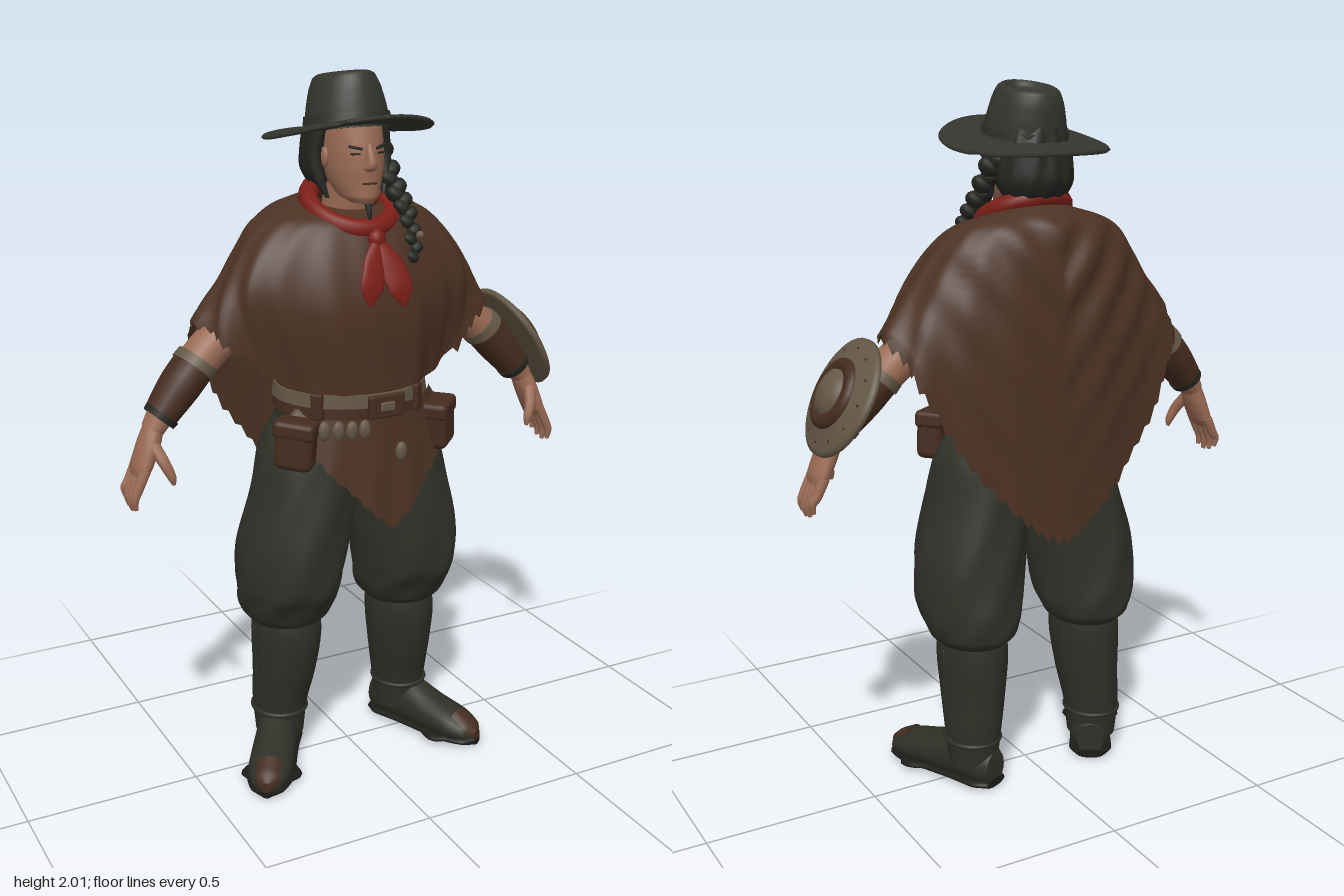
import * as THREE from 'three';
import { RoundedBoxGeometry } from 'three/addons/geometries/RoundedBoxGeometry.js';

const V = (x, y, z) => new THREE.Vector3(x, y, z);
const Y = V(0, 1, 0), Z = V(0, 0, 1);
const mat = (name, color, side = THREE.FrontSide) =>
  Object.assign(new THREE.MeshStandardMaterial({ color, side }), { name });

// Grid of points to an indexed geometry; rows are rings when wrap is set
function gridGeometry(rows, wrap, caps) {
  const n = rows[0].length, pos = [], idx = [];
  rows.forEach(r => r.forEach(p => pos.push(p.x, p.y, p.z)));
  for (let i = 0; i < rows.length - 1; i++) for (let j = 0; j < (wrap ? n : n - 1); j++) {
    const a = i * n + j, b = i * n + (j + 1) % n;
    idx.push(a, a + n, b, b, a + n, b + n);
  }
  if (caps) [rows[0], rows[rows.length - 1]].forEach((ring, k) => {
    const s = pos.length / 3, c = V(0, 0, 0);
    ring.forEach(p => { pos.push(p.x, p.y, p.z); c.addScaledVector(p, 1 / n); });
    pos.push(c.x, c.y, c.z);
    for (let j = 0; j < n; j++) {
      const q = s + (j + 1) % n;
      k ? idx.push(s + n, q, s + j) : idx.push(s + n, s + j, q);
    }
  });
  const g = new THREE.BufferGeometry();
  g.setAttribute('position', new THREE.Float32BufferAttribute(pos, 3));
  g.setIndex(idx);
  g.computeVertexNormals();
  return g;
}

// Elliptical sections [x, y, z, ra, rb] joined smoothly; rows run along axis when it is given
function sweep(rows, { axis, ref = Z, seg = 20, steps = 4, warp } = {}) {
  const path = new THREE.CatmullRomCurve3(rows.map(r => V(r[0], r[1], r[2])));
  const size = new THREE.CatmullRomCurve3(rows.map(r => V(r[3], r[4], 0)));
  const n = (rows.length - 1) * steps, rings = [];
  for (let i = 0; i <= n; i++) {
    const c = path.getPoint(i / n), s = size.getPoint(i / n), t = axis || path.getTangent(i / n);
    const u = t.clone().cross(ref).normalize(), v = u.clone().cross(t).normalize(), ring = [];
    for (let j = 0; j < seg; j++) {
      const a = j / seg * Math.PI * 2, k = warp ? warp(a, i / n) : 1;
      ring.push(c.clone().addScaledVector(u, s.x * k * Math.cos(a)).addScaledVector(v, s.y * k * Math.sin(a)));
    }
    rings.push(ring);
  }
  return gridGeometry(rings, true, true);
}

const flip = (rows, s) => rows.map(([x, ...r]) => [x * s, ...r]);

export function createModel() {
  const root = new THREE.Group();
  const M = {
    poncho: mat('ponchoBrown', 0x4c3223, THREE.DoubleSide), cloth: mat('trouserOlive', 0x303229),
    boot: mat('bootOlive', 0x2e3027), hat: mat('hatOlive', 0x33352e), hair: mat('hairDark', 0x242621),
    skin: mat('skin', 0x9a6b54), red: mat('scarfRed', 0x7c1e17), leather: mat('leather', 0x452c1f),
    taupe: mat('taupe', 0x645745), sole: mat('soleDark', 0x1c1d19),
  };
  const add = (name, geo, m, parent = root) => {
    const o = new THREE.Mesh(geo, m);
    o.name = name;
    parent.add(o);
    return o;
  };
  const box = (name, w, h, d, m, x, y, z, rx = 0, ry = 0, rz = 0) => {
    const o = add(name, new RoundedBoxGeometry(w, h, d, 2, Math.min(w, h, d) * 0.3), m);
    o.position.set(x, y, z);
    o.rotation.set(rx, ry, rz);
  };

  // Poncho: neck, shoulder, chest and hem rings, half given from front to back
  const chest = [[0, 1.41, .195], [.12, 1.41, .185], [.24, 1.42, .13], [.32, 1.45, .09], [.36, 1.46, .03],
    [.365, 1.46, -.04], [.33, 1.44, -.12], [.24, 1.41, -.18], [.12, 1.4, -.215], [0, 1.4, -.22]];
  const hem = [[0, 1.155, .19], [.11, 1.155, .18], [.2, 1.165, .12], [.29, 1.22, .09], [.41, 1.325, .06],
    [.45, 1.355, -.04], [.41, 1.265, -.14], [.29, 1.04, -.18], [.13, .85, -.21], [0, .77, -.22]];
  const oval = (rx, rz, y, cz, tilt) => hem.map((_, i) => {
    const a = i / 9 * Math.PI;
    return [rx * Math.sin(a), y - tilt * Math.cos(a), cz + rz * Math.cos(a)];
  });
  const rings = [oval(.1, .09, 1.66, -.02, .025), oval(.25, .155, 1.612, -.03, .012), chest, hem].map(half => {
    const back = half.slice(1, -1).reverse().map(([x, y, z]) => [-x, y, z]);
    return new THREE.CatmullRomCurve3([...half, ...back].map(p => V(...p)), true);
  });
  const NU = 144, NV = 32, grid = [];
  for (let i = 0; i <= NV; i++) grid.push([]);
  for (let j = 0; j < NU; j++) {
    const u = j / NU, column = new THREE.CatmullRomCurve3(rings.map(r => r.getPoint(u)));
    const rear = Math.max(0, -Math.cos(u * Math.PI * 2));
    for (let i = 0; i <= NV; i++) {
      const v = i / NV, p = column.getPoint(v);
      // Upright folds in front, V-shaped drapes behind
      const fold = .022 * v * (1 - .7 * rear) * Math.sin(u * Math.PI * 36 + 3 * Math.sin(v * 3));
      p.x *= 1 + fold;
      p.z = p.z * (1 + fold) + .009 * rear * Math.sin(v * Math.PI) * Math.sin(34 * (p.y - 1.3 * Math.abs(p.x)));
      if (i === NV && j % 2 && Math.abs(u - .5) < .34) p.y -= .014 + .014 * Math.abs(Math.sin(j * 1.7));
      grid[i].push(p);
    }
  }
  add('poncho', gridGeometry(grid, true, false), M.poncho);
  add('torso', sweep([[0, 1.06, 0, .2, .15], [0, 1.18, 0, .19, .155], [0, 1.4, -.01, .2, .15], [0, 1.58, -.03, .12, .09]],
    { axis: Y }), M.poncho);

  // Pointed front tail below the belt
  const tail = [];
  for (let i = 0; i <= 10; i++) {
    tail.push([]);
    for (let j = 0; j <= 36; j++) {
      const s = j / 18 - 1, a = s * 1.15, v = 1 - i / 10;
      const low = .745 + .31 * Math.abs(s - .06) + (j % 2) * .012, f = 1 + .025 * v * Math.sin(j * .9);
      tail[i].push(V(.015 + (.225 + .05 * v) * Math.sin(a) * f, 1.12 + (low - 1.12) * v, (.19 + .025 * v) * Math.cos(a) * f));
    }
  }
  add('ponchoFrontTail', gridGeometry(tail.map(r => r.reverse()), false, false), M.poncho);

  // Belt, buckle, charms and pouches
  add('belt', sweep([[0, 1.085, .01, .222, .192], [0, 1.16, .01, .212, .192]], { axis: Y, seg: 32 }), M.leather);
  add('sash', sweep([[0, 1.118, .012, .224, .2], [0, 1.155, .012, .218, .2]], { axis: Y, seg: 32 }), M.taupe);
  box('buckle', .11, .065, .02, M.leather, .01, 1.12, .212);
  box('buckleCentre', .045, .028, .02, M.taupe, .01, 1.12, .216);
  for (const a of [-.85, .6])
    box('beltLoop', .035, .075, .02, M.leather, .222 * Math.sin(a), 1.122, .012 + .2 * Math.cos(a), 0, a);
  for (const x of [-.16, -.125, -.09, -.055, .06]) {
    const c = add('charm', new THREE.SphereGeometry(.02, 10, 8), M.taupe);
    c.position.set(x, x > 0 ? .98 : 1.06, .215 - x * x * 1.6);
    c.scale.set(.9, 1.4, .6);
  }
  for (const s of [-1, 1]) {
    box('pouch', .11, .13, .075, M.leather, .225 * s, 1.015, .13, 0, .75 * s, .08 * s);
    box('pouchFlap', .118, .05, .084, M.leather, .222 * s, 1.065, .13, 0, .75 * s, .08 * s);
  }

  add('trouserSeat', sweep([[0, .82, 0, .07, .09], [0, .9, 0, .15, .14], [0, 1, 0, .215, .165], [0, 1.1, 0, .212, .175]],
    { axis: Y, seg: 32 }), M.cloth);
  for (const s of [-1, 1]) {
    // Baggy trouser leg, gathered below the knee
    add('trouserLeg', sweep(flip([[.19, .44, -.03, .1, .112], [.19, .465, -.03, .125, .138], [.19, .51, -.022, .142, .155], [.19, .57, -.005, .15, .173],
      [.18, .68, .005, .157, .175], [.15, .84, .01, .148, .165], [.125, .97, .005, .145, .152], [.1, 1.08, 0, .1, .12]], s),
    { axis: Y, seg: 40, steps: 6, warp: (a, t) => 1 + .025 * Math.sin(a * 7 + t * 14) * Math.sin(t * Math.PI) }), M.cloth);
    // Boot shaft with strap and side seam
    add('bootShaft', sweep(flip([[.205, .06, -.05, .07, .08], [.203, .16, -.05, .08, .09], [.195, .27, -.035, .09, .108],
      [.19, .4, -.025, .1, .12], [.19, .48, -.025, .09, .11]], s), { axis: Y, seg: 28 }), M.boot);
    add('ankleStrap', new THREE.TorusGeometry(.077, .008, 8, 28).rotateX(Math.PI / 2).scale(1, 1, 1.1)
      .translate(.205 * s, .14, -.05), M.boot);
    box('bootSeam', .01, .26, .014, M.boot, .284 * s, .29, -.035, 0, 0, -.04 * s);
    // Foot, sole and worn toe
    const foot = new THREE.Group();
    foot.name = 'foot';
    foot.position.set(.205 * s, 0, -.05);
    foot.rotation.y = s > 0 ? .4 : -.56;
    root.add(foot);
    const shape = [[0, .06, -.085, .04, .05], [0, .07, -.04, .062, .07], [0, .072, .04, .06, .077], [0, .058, .14, .064, .058],
      [0, .047, .225, .064, .045], [0, .037, .28, .046, .032], [0, .03, .302, .015, .018]];
    const fOpt = { axis: Z, ref: Y };
    add('bootFoot', sweep(shape, fOpt), M.boot, foot);
    add('bootSole', sweep(shape.map(([x, , z, w]) => [x, .014, z * 1.01, w * 1.04, .014]), fOpt), M.sole, foot);
    add('bootToe', sweep([[0, .058, .235, .044, .039], [0, .044, .28, .04, .029], [0, .034, .306, .014, .016]], fOpt), M.leather, foot);

    // Arm, bracer and hand
    const arm = (name, rows, m, o) => add(name, sweep(flip(rows, s), o), m);
    arm('arm', [[.26, 1.39, -.02, .055, .05], [.35, 1.325, -.025, .056, .055], [.425, 1.265, -.02, .056, .06],
      [.53, 1.16, -.005, .045, .048], [.59, 1.08, .005, .03, .038]], M.skin);
    arm('bracer', [[.455, 1.24, -.015, .057, .068], [.5, 1.19, -.01, .057, .064], [.568, 1.11, 0, .046, .05]], M.leather);
    arm('bracerCuff', [[.443, 1.253, -.017, .059, .069], [.462, 1.232, -.015, .061, .072]], M.taupe);
    arm('wristBand', [[.556, 1.122, 0, .05, .055], [.568, 1.108, 0, .048, .053]], M.hair);
    arm('palm', [[.585, 1.09, .005, .028, .034], [.605, 1.04, .01, .03, .045], [.628, .985, .012, .026, .05], [.638, .96, .012, .016, .044]], M.skin);
    for (let k = 0; k < 4; k++) {
      const z = -.03 + k * .027, d = [.02, .005, 0, .008][k];
      arm('finger', [[.628, .985, z, .015, .014], [.652, .935, z + .002, .014, .013],
        [.663, .9 + d, z + .003, .012, .011], [.66, .872 + d, z + .003, .006, .006]], M.skin, { seg: 10 });
    }
    arm('thumb', [[.6, 1.05, .035, .018, .018], [.582, 1.005, .07, .016, .016], [.566, .965, .082, .012, .012], [.562, .945, .083, .005, .005]],
      M.skin, { seg: 10 });
  }

  // Round shield on the left forearm
  const shield = new THREE.Group();
  shield.name = 'shield';
  shield.position.set(.568, 1.2, -.02);
  shield.rotation.z = -1.07;
  root.add(shield);
  const turned = (name, pts, m) => add(name, new THREE.LatheGeometry(pts.map(p => new THREE.Vector2(...p)), 40), m, shield);
  turned('shieldDisc', [[0, -.008], [.158, -.016], [.168, -.01], [.167, .002], [.155, .008], [.1, .022], [.095, .028], [0, .028]], M.taupe);
  turned('shieldRing', [[.1, .018], [.098, .032], [.085, .04], [.066, .038], [.058, .024]], M.leather);
  turned('shieldBoss', [[.066, .03], [.062, .044], [.042, .054], [.022, .062], [0, .064]], M.taupe);
  for (let k = 0; k < 12; k++) {
    const a = k * Math.PI / 6;
    add('shieldStud', new THREE.SphereGeometry(.004, 8, 6).translate(.135 * Math.cos(a), .013, .135 * Math.sin(a)), M.leather, shield);
  }

  // Head and face
  add('neck', sweep([[0, 1.58, -.02, .07, .07], [0, 1.74, .005, .058, .065]], { axis: Y }), M.skin);
  add('head', sweep([[0, 1.658, .085, .03, .04], [0, 1.675, .062, .052, .072], [0, 1.71, .04, .068, .092], [0, 1.75, .028, .079, .105],
    [0, 1.8, .02, .082, .11], [0, 1.88, .01, .08, .1]], { axis: Y, seg: 28 }), M.skin);
  add('nose', sweep([[0, 1.742, .125, .01, .008], [0, 1.752, .132, .018, .02], [0, 1.768, .135, .014, .021], [0, 1.815, .12, .009, .012]],
    { axis: Y, seg: 12 }), M.skin);
  box('mouth', .042, .005, .01, M.leather, 0, 1.712, .13);
  add('chinBeard', sweep([[.004, 1.605, .128, .003, .003], [.003, 1.635, .122, .008, .007], [0, 1.668, .112, .01, .008]],
    { axis: Y, seg: 10 }), M.hair);
  for (const s of [-1, 1]) {
    box('eye', .026, .006, .009, M.hair, .036 * s, 1.79, .117, 0, .35 * s);
    box('brow', .038, .007, .012, M.hair, .037 * s, 1.806, .119, 0, .35 * s, .2 * s);
    add('ear', new THREE.SphereGeometry(.02, 10, 8).scale(.5, 1.4, .9).translate(.084 * s, 1.775, .03), M.skin);
    add('sideLock', sweep(flip([[.085, 1.67, .05, .005, .006], [.1, 1.72, .025, .016, .022], [.106, 1.78, .005, .02, .032],
      [.095, 1.85, .015, .02, .03]], s), { axis: Y, seg: 12 }), M.hair);
  }
  add('hair', sweep([[0, 1.67, -.06, .05, .03], [0, 1.7, -.055, .09, .07], [0, 1.75, -.05, .11, .095], [0, 1.82, -.04, .108, .095],
    [0, 1.88, -.03, .095, .09]], { axis: Y, seg: 48, warp: (a, t) => 1 + .035 * Math.sin(a * 12 + t * 5) }), M.hair);

  // Long braid over the left shoulder
  const braid = new THREE.CatmullRomCurve3([V(.105, 1.8, -.03), V(.118, 1.69, .045), V(.132, 1.61, .1), V(.125, 1.51, .155)]);
  for (let k = 0; k <= 14; k++) {
    const p = braid.getPoint(k / 14), r = .034 - .014 * k / 14;
    const lump = add('braidLump', new THREE.SphereGeometry(r, 10, 8).scale(1, .8, 1), M.hair);
    lump.position.copy(p).add(V(k % 2 ? .008 : -.008, 0, 0));
    lump.rotation.z = k % 2 ? .6 : -.6;
  }
  add('braidTie', new THREE.SphereGeometry(.012, 10, 8).translate(.147, 1.565, .145), M.taupe);

  // Neck scarf with knot and two tails
  add('scarfCollar', new THREE.TorusGeometry(.108, .025, 12, 40).rotateX(Math.PI / 2 + .46).scale(1.05, 1.12, 1.12)
    .translate(0, 1.643, .012), M.red);
  add('scarfKnot', new THREE.SphereGeometry(.026, 12, 10).scale(1, 1.1, .8).translate(.012, 1.565, .148), M.red);
  for (const [s, d] of [[-1, 0], [1, -.01]])
    add('scarfTail', sweep([[.012, 1.565, .148, .014, .012], [.012 + .024 * s, 1.5, .182, .036, .009], [.012 + .044 * s, 1.45 + d, .205, .036, .007],
      [.012 + .052 * s, 1.4 + d, .21, .004, .004]], { seg: 14 }), M.red);

  // Wide hat, tipped back
  const hat = new THREE.Group();
  hat.name = 'hat';
  hat.position.y = 1.851;
  hat.rotation.x = -.155;
  root.add(hat);
  const brim = new THREE.LatheGeometry([[.09, -.006], [.17, -.008], [.232, -.006], [.238, 0], [.232, .006], [.17, .005], [.1, .012]]
    .map(p => new THREE.Vector2(...p)), 72);
  const bp = brim.attributes.position;
  for (let i = 0; i < bp.count; i++) {
    const x = bp.getX(i), z = bp.getZ(i), a = Math.atan2(z, x);
    const notch = Math.hypot(x, z) > .2 && [-.4, 2.2].some(k => Math.abs(a - k) < .05) ? .91 : 1;
    bp.setXYZ(i, x * notch * .97, bp.getY(i) - .35 * x * x + .12 * z * z, z * notch * 1.02);
  }
  brim.computeVertexNormals();
  add('hatBrim', brim, M.hat, hat);
  // Crown pinched towards the front, with a dented top
  add('hatCrown', sweep([[0, -.01, 0, .116, .122], [0, .05, 0, .107, .117], [0, .1, 0, .094, .11], [0, .13, 0, .08, .099],
    [0, .138, 0, .064, .085], [0, .122, .005, .045, .062], [0, .114, .01, .018, .03]],
  { axis: Y, seg: 36, warp: (a, t) => 1 - .1 * t * Math.max(0, Math.sin(a)) * Math.abs(Math.cos(a)) }), M.hat, hat);
  add('hatBand', sweep([[0, .008, 0, .119, .125], [0, .03, 0, .115, .122]], { axis: Y, seg: 36 }), M.boot, hat);
  return root;
}
